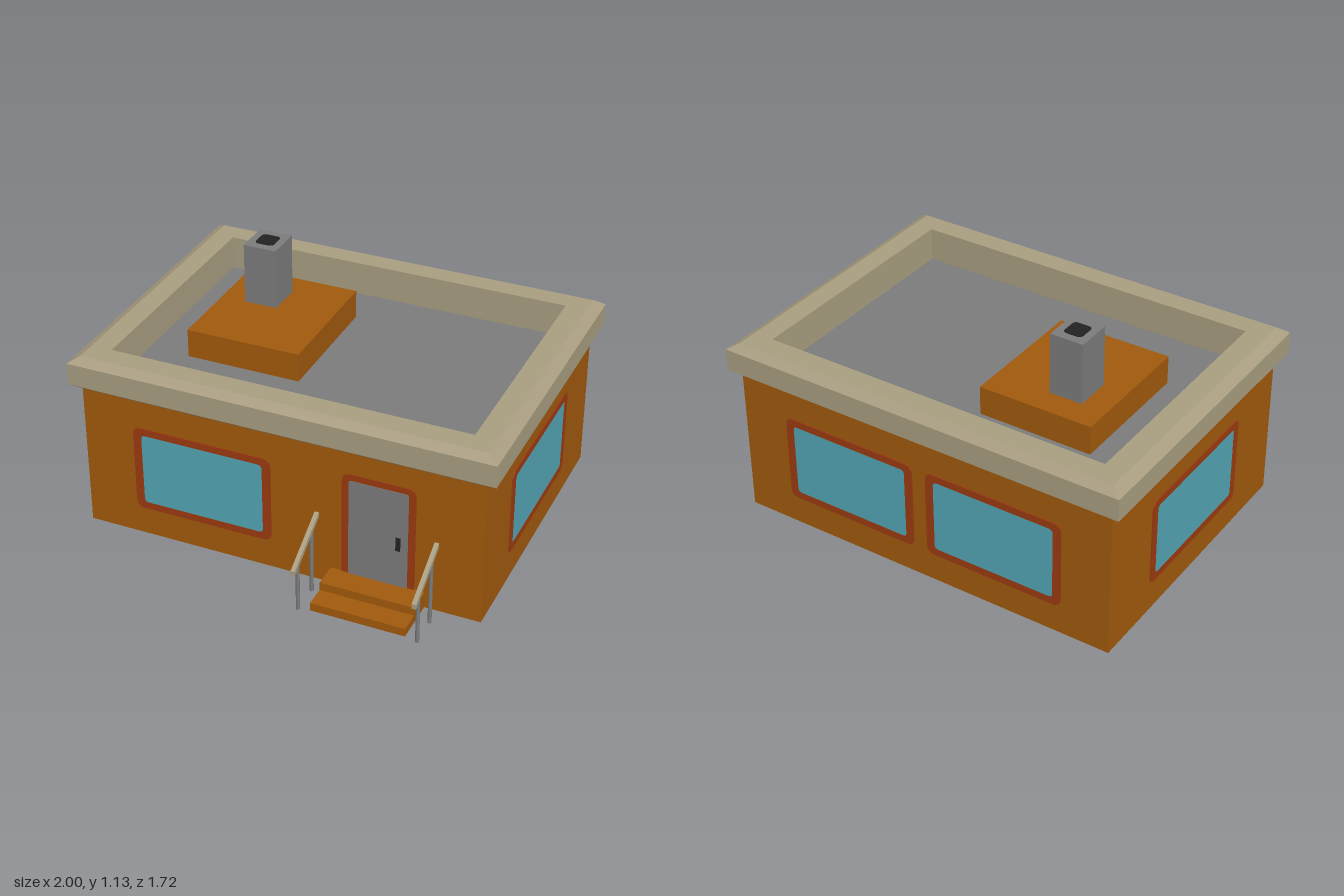
import * as THREE from 'three';

const mat = (name, color) => {
  const m = new THREE.MeshStandardMaterial({ color });
  m.name = name;
  return m;
};

export function createModel() {
  const root = new THREE.Group();
  root.name = 'house';
  const wall = mat('ochre wall', 0xa0590c);
  const trim = mat('beige trim', 0xa89d80);
  const grey = mat('grey', 0x7b7b7b);
  const frameRed = mat('rust frame', 0x9b3a10);
  const glass = mat('blue glass', 0x52a5b4);
  const black = mat('black', 0x222222);

  const add = (name, geometry, material, parent = root) => {
    const mesh = new THREE.Mesh(geometry, material);
    mesh.name = name;
    parent.add(mesh);
    return mesh;
  };
  // Box given by its limits on each axis
  const box = (name, material, [x0, x1], [y0, y1], [z0, z1], parent = root) => {
    const mesh = add(name, new THREE.BoxGeometry(x1 - x0, y1 - y0, z1 - z0), material, parent);
    mesh.position.set((x0 + x1) / 2, (y0 + y1) / 2, (z0 + z1) / 2);
    return mesh;
  };
  const roundRect = (w, h, r) => {
    const s = new THREE.Shape();
    const x = w / 2, y = h / 2;
    s.moveTo(-x + r, -y).lineTo(x - r, -y).quadraticCurveTo(x, -y, x, -y + r);
    s.lineTo(x, y - r).quadraticCurveTo(x, y, x - r, y);
    s.lineTo(-x + r, y).quadraticCurveTo(-x, y, -x, y - r);
    s.lineTo(-x, -y + r).quadraticCurveTo(-x, -y, -x + r, -y);
    return s;
  };
  const plate = (w, h, r, depth) => new THREE.ExtrudeGeometry(roundRect(w, h, r), { depth, bevelEnabled: false, curveSegments: 4 });

  // Body
  box('walls', wall, [-0.95, 0.95], [0, 0.7], [-0.82, 0.58]);

  // Roof rim: rectangular rings [half x, half z, y] joined by flat quads
  const rings = [
    [0.95, 0.7, 0.7], [1, 0.738, 0.73], [1, 0.738, 0.835],
    [0.95, 0.7, 0.865], [0.85, 0.597, 0.865], [0.85, 0.597, 0.7],
  ];
  const signs = [[1, 1], [1, -1], [-1, -1], [-1, 1]];
  const verts = [];
  const corner = ([hx, hz, y], j) => [signs[j % 4][0] * hx, y, signs[j % 4][1] * hz];
  for (let i = 0; i < rings.length - 1; i++) {
    for (let j = 0; j < 4; j++) {
      const a = corner(rings[i], j), b = corner(rings[i], j + 1);
      const c = corner(rings[i + 1], j + 1), d = corner(rings[i + 1], j);
      verts.push(...a, ...b, ...c, ...a, ...c, ...d);
    }
  }
  const rim = new THREE.BufferGeometry();
  rim.setAttribute('position', new THREE.Float32BufferAttribute(verts, 3));
  rim.computeVertexNormals();
  add('roofRim', rim, trim).position.z = -0.12;
  box('roofFloor', grey, [-0.85, 0.85], [0.695, 0.703], [-0.717, 0.477]);

  // Chimney on its raised base
  box('chimneyBase', wall, [-0.65, -0.1], [0.7, 0.84], [-0.5, 0.145]);
  box('chimney', grey, [-0.53, -0.37], [0.84, 1.132], [-0.375, -0.2]);
  const flue = add('flue', plate(0.09, 0.095, 0.02, 0.003), black);
  flue.rotation.x = -Math.PI / 2;
  flue.position.set(-0.45, 1.131, -0.2875);

  // Windows: rounded frame plate with a slightly raised pane
  const makeWindow = (name, x, z, width, turn) => {
    const g = new THREE.Group();
    g.name = name;
    const frame = roundRect(width, 0.425, 0.04);
    frame.holes.push(roundRect(width - 0.08, 0.355, 0.02));
    add('windowFrame', new THREE.ExtrudeGeometry(frame, { depth: 0.005, bevelEnabled: false, curveSegments: 4 }), frameRed, g);
    add('windowPane', plate(width - 0.08, 0.355, 0.02, 0.004), glass, g);
    g.position.set(x, 0.3525, z);
    g.rotation.y = turn;
    root.add(g);
  };
  makeWindow('frontWindow', -0.37, 0.58, 0.67, 0);
  for (const s of [1, -1]) {
    makeWindow(s > 0 ? 'leftWindow' : 'rightWindow', s * 0.95, -0.1175, 0.745, s * Math.PI / 2);
    makeWindow(s > 0 ? 'backWindowLeft' : 'backWindowRight', s * 0.375, -0.82, 0.68, Math.PI);
  }

  // Door, its frame running down behind the steps
  add('doorFrame', plate(0.34, 0.555, 0.04, 0.004), frameRed).position.set(0.472, 0.3175, 0.58);
  add('door', plate(0.275, 0.5, 0.012, 0.007), grey).position.set(0.472, 0.315, 0.58);
  box('doorHandle', black, [0.555, 0.576], [0.268, 0.335], [0.586, 0.592]);

  // Steps
  box('lowerStep', wall, [0.25, 0.69], [0, 0.04], [0.58, 0.8]);
  box('upperStep', wall, [0.25, 0.69], [0.04, 0.08], [0.58, 0.7]);

  // Sloping handrails on round posts
  const railShape = new THREE.Shape([[0.61, 0.355], [0.86, 0.207], [0.86, 0.232], [0.61, 0.38]]
    .map(([z, y]) => new THREE.Vector2(-z, y)));
  const railGeometry = new THREE.ExtrudeGeometry(railShape, { depth: 0.02, bevelEnabled: false });
  for (const x of [0.197, 0.749]) {
    const g = new THREE.Group();
    g.name = 'handrail';
    const rail = add('rail', railGeometry, trim, g);
    rail.rotation.y = Math.PI / 2;
    rail.position.x = -0.01;
    for (const [z, h] of [[0.81, 0.245], [0.667, 0.33]]) {
      add('post', new THREE.CylinderGeometry(0.009, 0.009, h, 12), grey, g).position.set(0, h / 2, z);
    }
    g.position.x = x;
    root.add(g);
  }
  return root;
}
